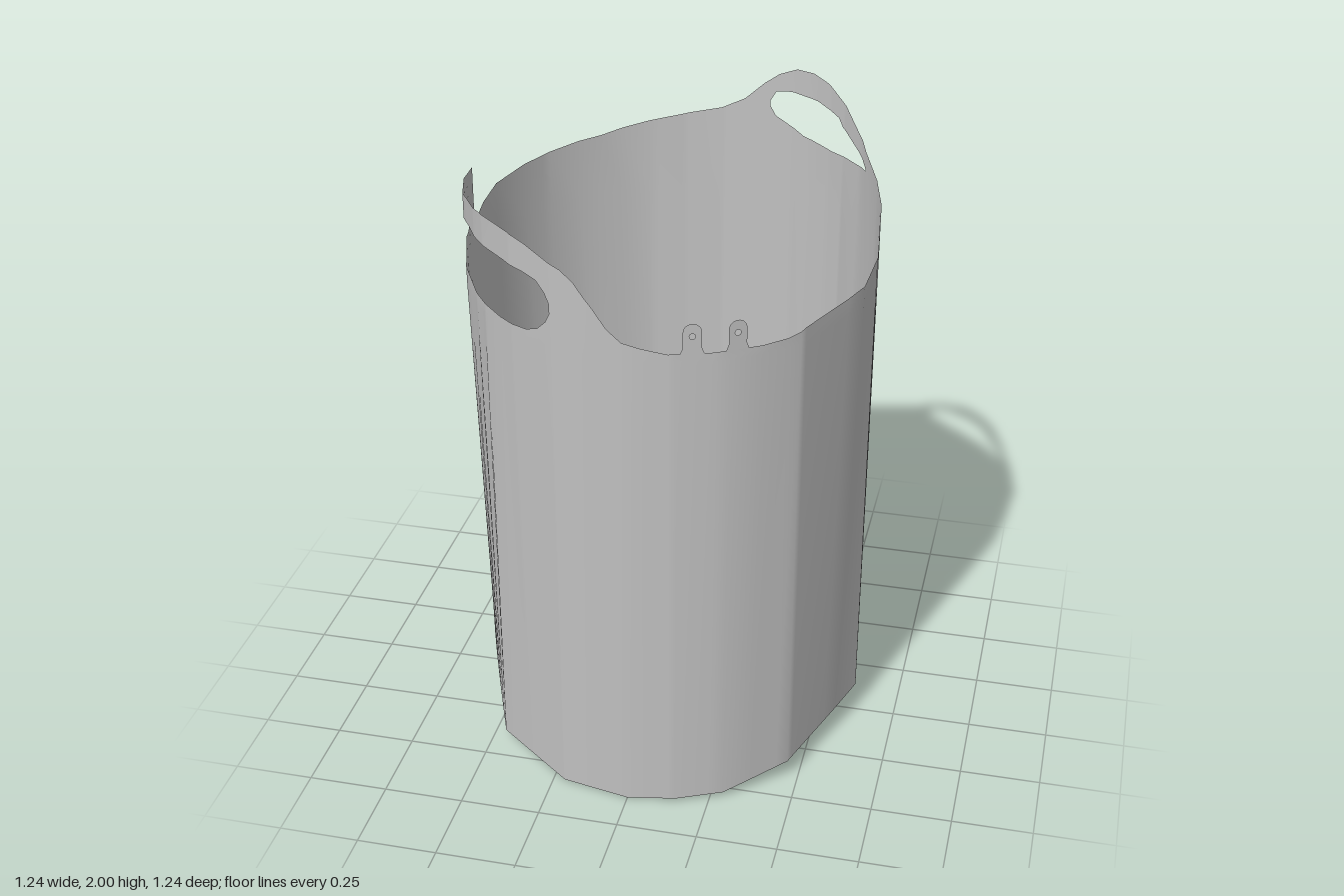
import * as THREE from 'three';
import { mergeVertices } from 'three/addons/utils/BufferGeometryUtils.js';

const R = 0.62, RAD = Math.PI / 180;

// Linear interpolation through [angle, height] knots
function sample(knots, a) {
  if (a <= knots[0][0]) return knots[0][1];
  for (let i = 1; i < knots.length; i++) {
    const [a0, y0] = knots[i - 1], [a1, y1] = knots[i];
    if (a <= a1) return y0 + (y1 - y0) * (a - a0) / (a1 - a0);
  }
  return knots[knots.length - 1][1];
}

// Radius of a polygon with corners on the circle at the given angles
function polygonRadius(corners, a) {
  for (let i = 1; i < corners.length; i++) {
    if (a <= corners[i]) {
      const half = (corners[i] - corners[i - 1]) / 2 * RAD;
      const mid = (corners[i] + corners[i - 1]) / 2 * RAD;
      return R * Math.cos(half) / Math.cos(a * RAD - mid);
    }
  }
  return R;
}

// Angles in degrees: 0 is the front, 90 is +x, 180 is the back
const front = {
  top: [[-90, 1.81], [-78, 1.82], [-62, 1.84], [-48, 1.85], [-35, 1.845], [-29, 1.83], [-17, 1.785],
    [-13, 1.755], [-8, 1.69], [-4, 1.63], [0, 1.595], [5, 1.58], [12, 1.567], [45, 1.57],
    [51, 1.585], [70, 1.6], [77, 1.61], [90, 1.64]],
  bottom: [[-90, 0.11], [-47, 0.04], [-20, 0.006], [0, 0.003], [28, 0.02], [49, 0.065], [90, 0.1]],
  holeTop: [[-83.5, 1.7], [-82, 1.735], [-78, 1.75], [-60, 1.76], [-37, 1.75], [-30, 1.742],
    [-25, 1.73], [-22, 1.7], [-20.5, 1.67]],
  holeBottom: [[-83.5, 1.645], [-82, 1.635], [-75, 1.62], [-54, 1.58], [-40, 1.562], [-29, 1.565],
    [-25, 1.58], [-22, 1.61], [-20.5, 1.64]],
  topCorners: [-90, -80, -66, -53, -47, -34, -20, -10, 0, 12, 24, 37, 49, 77, 90],
  bottomCorners: [-90, -47, -20, 0, 14, 28, 49, 90],
};
const back = {
  top: [[90, 1.64], [95, 1.7], [99, 1.75], [111, 1.79], [121, 1.84], [134, 1.94], [142, 1.985],
    [148, 2], [154, 1.998], [160, 1.97], [165, 1.93], [171, 1.87], [178, 1.83], [190, 1.8],
    [197, 1.785], [215, 1.745], [235, 1.72], [255, 1.695], [264, 1.67], [270, 1.63]],
  bottom: [[90, 0.1], [104, 0.052], [134, 0.05], [155, 0.015], [177, 0], [200, 0.008],
    [222, 0.04], [242, 0.075], [270, 0.11]],
  holeTop: [[121, 1.785], [126, 1.82], [135, 1.865], [137, 1.89], [146, 1.915], [156, 1.92],
    [161, 1.91], [163, 1.875]],
  holeBottom: [[121, 1.778], [140, 1.77], [151, 1.785], [161, 1.83], [163, 1.86]],
  topCorners: [90, 101, 111, 124, 134, 141, 148, 155, 165, 177, 188, 200, 208, 222, 232, 242, 255, 270],
  bottomCorners: [90, 104, 134, 155, 177, 200, 222, 242, 270],
};

// Point on a panel's wall, lofted from the coarse foot to the finer rim
function wallPoint(panel, a, y) {
  const t = Math.min(Math.max(y / 1.56, 0), 1);
  const r = THREE.MathUtils.lerp(polygonRadius(panel.bottomCorners, a), polygonRadius(panel.topCorners, a), t);
  return [r * Math.sin(a * RAD), y, r * Math.cos(a * RAD)];
}

// Half of the wall, with its handle opening, built in vertical strips
function panelGeometry(panel) {
  const angles = new Set([...panel.topCorners, ...panel.bottomCorners]);
  for (const list of [panel.top, panel.bottom, panel.holeTop, panel.holeBottom]) list.forEach(k => angles.add(k[0]));
  const cols = [...angles].sort((p, q) => p - q);
  const holeStart = panel.holeTop[0][0], holeEnd = panel.holeTop[panel.holeTop.length - 1][0];
  const pos = [];
  const strip = (a, b, low, high) => {
    const p = wallPoint(panel, a, low(a)), q = wallPoint(panel, b, low(b));
    const s = wallPoint(panel, b, high(b)), t = wallPoint(panel, a, high(a));
    pos.push(...p, ...q, ...s, ...p, ...s, ...t);
  };
  const curve = name => a => sample(panel[name], a);
  const middle = () => 1.54;
  for (let i = 1; i < cols.length; i++) {
    const a = cols[i - 1], b = cols[i], m = (a + b) / 2;
    strip(a, b, curve('bottom'), middle);
    if (m > holeStart && m < holeEnd) {
      strip(a, b, middle, curve('holeBottom'));
      strip(a, b, curve('holeTop'), curve('top'));
    } else {
      strip(a, b, middle, curve('top'));
    }
  }
  const geo = new THREE.BufferGeometry();
  geo.setAttribute('position', new THREE.Float32BufferAttribute(pos, 3));
  const merged = mergeVertices(geo, 1e-4);
  merged.computeVertexNormals();
  return merged;
}

// Small rounded tab with an eyelet, bent onto the wall at a given angle
function tabGeometry(angle) {
  const w = 0.027, y0 = 1.56, y1 = 1.632;
  const s = new THREE.Shape();
  s.moveTo(-w - 0.01, y0);
  s.lineTo(w + 0.01, y0);
  s.lineTo(w, y0 + 0.025);
  s.lineTo(w, y1);
  s.absarc(0, y1, w, 0, Math.PI, false);
  s.lineTo(-w, y0 + 0.025);
  const eye = new THREE.Path();
  eye.absarc(0, 1.62, 0.009, 0, Math.PI * 2, true);
  s.holes.push(eye);
  const geo = new THREE.ShapeGeometry(s, 8);
  const p = geo.attributes.position;
  for (let i = 0; i < p.count; i++) {
    p.setXYZ(i, ...wallPoint(front, angle + p.getX(i) / R / RAD, p.getY(i)));
  }
  geo.computeVertexNormals();
  return geo;
}

export function createModel() {
  const group = new THREE.Group();
  group.name = 'openBasket';
  const grey = new THREE.MeshStandardMaterial({ color: 0xc0c0c0, side: THREE.DoubleSide });
  grey.name = 'lightGrey';
  const add = (name, geo) => {
    const mesh = new THREE.Mesh(geo, grey);
    mesh.name = name;
    group.add(mesh);
  };
  add('frontPanel', panelGeometry(front));
  add('backPanel', panelGeometry(back));
  // Pair of eyelet tabs on the front rim
  add('rightTab', tabGeometry(18.3));
  add('leftTab', tabGeometry(30.3));
  return group;
}
